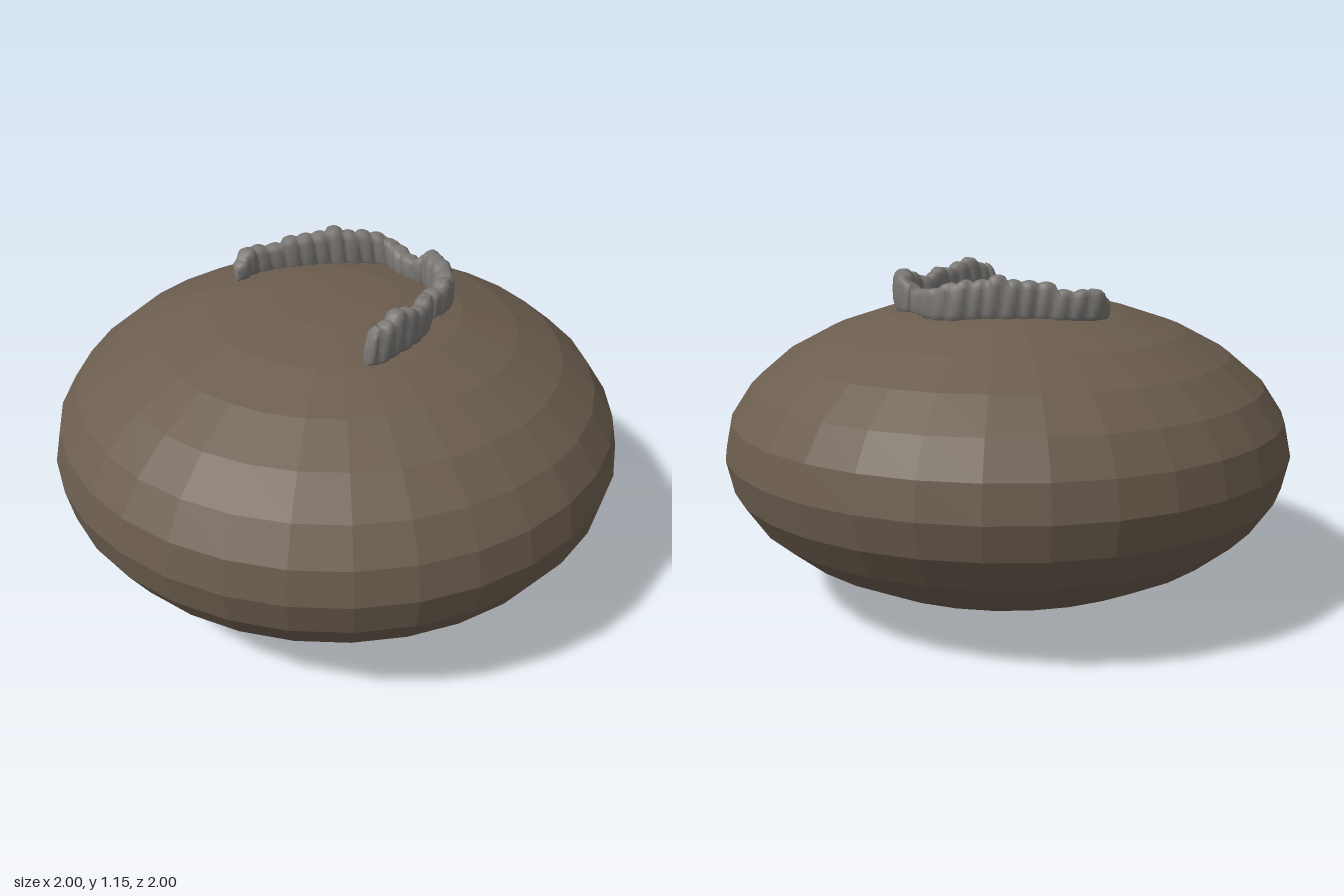
import * as THREE from 'three';

const earth = new THREE.MeshStandardMaterial({ color: 0x6b5d4e, flatShading: true });
earth.name = 'earthBrown';
const stone = new THREE.MeshStandardMaterial({ color: 0x797673 });
stone.name = 'stoneGrey';

// Centre line of the wall: x, z and top height
const WALL = [
  [-0.365, 0.17, 1.08], [-0.395, 0.09, 1.11], [-0.375, 0.01, 1.11], [-0.33, -0.07, 1.13],
  [-0.29, -0.16, 1.15], [-0.24, -0.24, 1.15], [-0.19, -0.32, 1.13], [-0.13, -0.355, 1.11],
  [-0.05, -0.345, 1.085], [0.015, -0.345, 1.1], [0.06, -0.365, 1.145], [0.12, -0.34, 1.145],
  [0.2, -0.31, 1.13], [0.25, -0.245, 1.12], [0.265, -0.17, 1.11], [0.31, -0.125, 1.12],
  [0.35, -0.05, 1.13], [0.37, 0.04, 1.145], [0.385, 0.11, 1.135], [0.375, 0.17, 1.08],
];
const BASE = 1.0;

function seeded(seed) {
  return () => (seed = (seed * 16807) % 2147483647) / 2147483647;
}

// Closed strip of rounded sections, pinched at each joint between stones
function wallGeometry() {
  const curve = new THREE.CatmullRomCurve3(WALL.map(([x, z, h]) => new THREE.Vector3(x, h, z)));
  const stations = 168, ring = 14, stones = 28;
  const rand = seeded(71);
  const rocks = Array.from({ length: stones + 2 }, () => ({
    lift: (rand() - 0.5) * 0.02, width: 0.9 + rand() * 0.25, lean: (rand() - 0.5) * 0.5,
  }));
  const pos = [], index = [];
  for (let i = 0; i <= stations; i++) {
    const t = i / stations;
    const p = curve.getPointAt(t), tan = curve.getTangentAt(t);
    const side = new THREE.Vector3(-tan.z, 0, tan.x).normalize();
    const end = Math.sqrt(Math.min(1, Math.min(t, 1 - t) * 45 + 0.12));
    for (let j = 0; j < ring; j++) {
      const a = (j / ring) * Math.PI * 2;
      const c = Math.cos(a), s = Math.sin(a);
      // The joints lean with height
      const u = Math.min(stones, Math.max(0, t * stones + s * 0.3));
      const rock = rocks[Math.floor(u)];
      const bulge = Math.sqrt(Math.abs(Math.sin(u * Math.PI)));
      const half = (0.02 + 0.014 * bulge) * rock.width * end;
      const top = p.y + rock.lift - 0.012 * (1 - bulge) - 0.02 * (1 - end);
      const off = Math.sign(c) * Math.pow(Math.abs(c), 0.6) * half + rock.lean * 0.012 * s;
      const rise = 0.5 + 0.5 * Math.sign(s) * Math.pow(Math.abs(s), 0.7);
      pos.push(p.x + side.x * off, BASE + (top - BASE) * rise, p.z + side.z * off);
    }
  }
  for (let i = 0; i < stations; i++) {
    for (let j = 0; j < ring; j++) {
      const a = i * ring + j, b = i * ring + ((j + 1) % ring);
      index.push(a, b, a + ring, b, b + ring, a + ring);
    }
  }
  // End caps
  const last = stations * ring;
  for (let j = 1; j < ring - 1; j++) {
    index.push(0, j + 1, j, last, last + j, last + j + 1);
  }
  const g = new THREE.BufferGeometry();
  g.setAttribute('position', new THREE.Float32BufferAttribute(pos, 3));
  g.setIndex(index);
  // Turn the faces outward if the enclosed volume comes out negative
  const v = [0, 1, 2].map(() => new THREE.Vector3());
  let volume = 0;
  for (let k = 0; k < index.length; k += 3) {
    v.forEach((q, n) => q.fromArray(pos, index[k + n] * 3));
    volume += v[0].dot(v[1].clone().cross(v[2]));
  }
  if (volume < 0) g.setIndex(index.reverse());
  g.computeVertexNormals();
  return g;
}

export function createModel() {
  const model = new THREE.Group();
  model.name = 'moundWithStoneWall';

  // Flattened, faceted mound
  const mound = new THREE.Mesh(new THREE.SphereGeometry(1, 32, 14), earth);
  mound.name = 'mound';
  mound.scale.y = 0.525;
  mound.position.y = 0.53;
  model.add(mound);

  // Curved ruin of stacked stones
  const wall = new THREE.Mesh(wallGeometry(), stone);
  wall.name = 'stoneWall';
  model.add(wall);

  return model;
}
